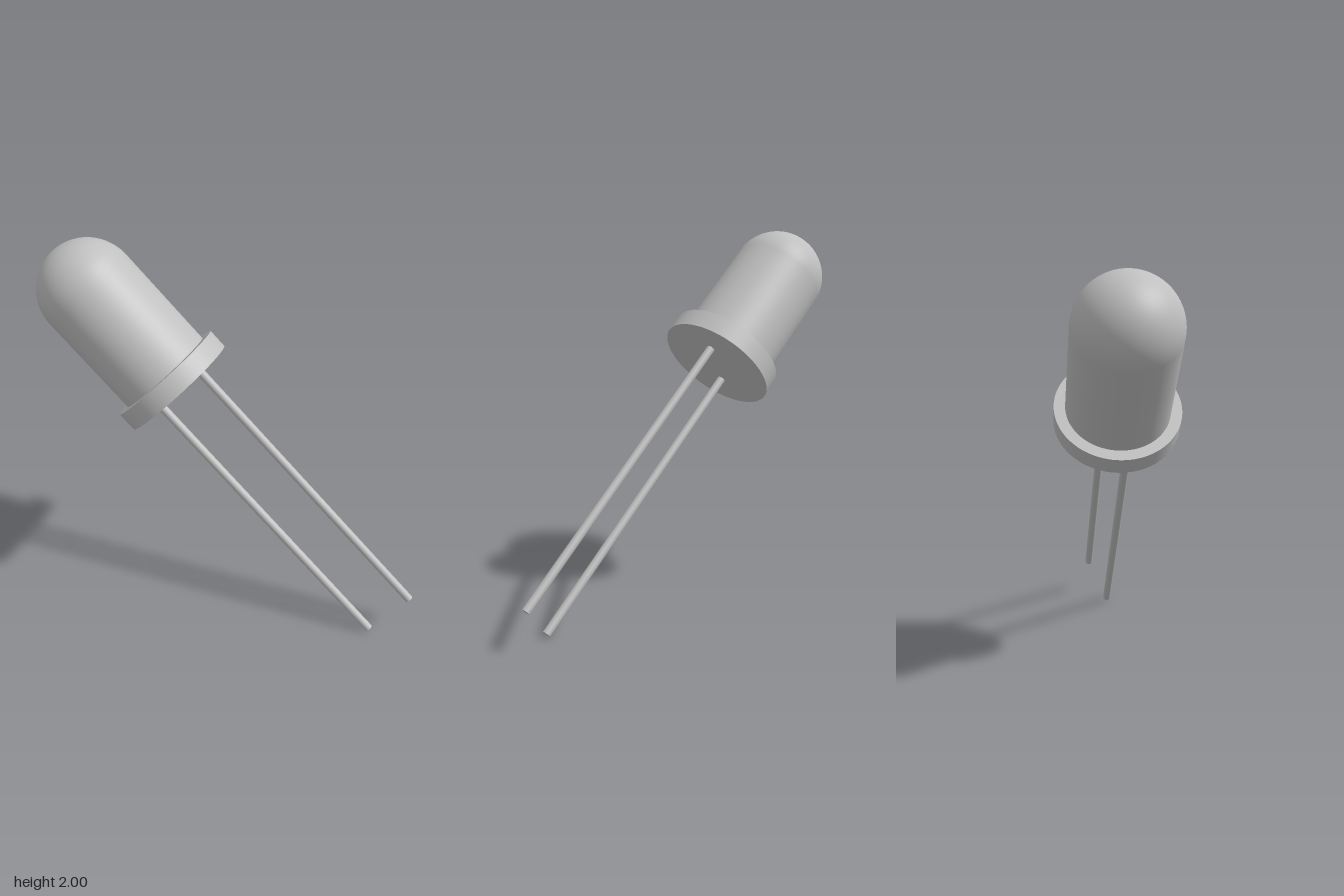
import * as THREE from 'three';

export function createModel() {
  const model = new THREE.Group();
  model.name = 'lightEmittingDiode';
  const grey = new THREE.MeshStandardMaterial({ color: 0xc0c0c0 });
  grey.name = 'light grey';

  const bodyRadius = 0.26, flangeRadius = 0.316, flangeHeight = 0.105;
  const domeHeight = 0.67, legRadius = 0.022, legLength = 1.678, legSpacing = 0.28;

  const add = (name, geometry, x, y) => {
    const mesh = new THREE.Mesh(geometry, grey);
    mesh.name = name;
    mesh.position.set(x, y, 0);
    model.add(mesh);
  };

  // Bulb: flange, straight body and hemispherical dome, standing on local y = 0
  add('flange', new THREE.CylinderGeometry(flangeRadius, flangeRadius, flangeHeight, 96), 0, flangeHeight / 2);
  const bodyHeight = domeHeight - flangeHeight;
  add('body', new THREE.CylinderGeometry(bodyRadius, bodyRadius, bodyHeight, 96, 1, true), 0, flangeHeight + bodyHeight / 2);
  add('dome', new THREE.SphereGeometry(bodyRadius, 96, 32, 0, Math.PI * 2, 0, Math.PI / 2), 0, domeHeight);

  // Two wire legs hanging below the flange
  for (const [name, side] of [['rightLeg', -1], ['leftLeg', 1]]) {
    add(name, new THREE.CylinderGeometry(legRadius, legRadius, legLength, 32), side * legSpacing / 2, -legLength / 2);
  }

  // Tilt the whole part: local y is the bulb axis, local x runs from leg to leg
  const up = new THREE.Vector3(-0.63, 0.693, -0.35).normalize();
  const across = new THREE.Vector3(up.y, -up.x, 0).normalize();
  const depth = new THREE.Vector3().crossVectors(across, up);
  model.quaternion.setFromRotationMatrix(new THREE.Matrix4().makeBasis(across, up, depth));
  model.position.set(-0.25, 1.276, -0.057);

  const root = new THREE.Group();
  root.add(model);
  return root;
}
